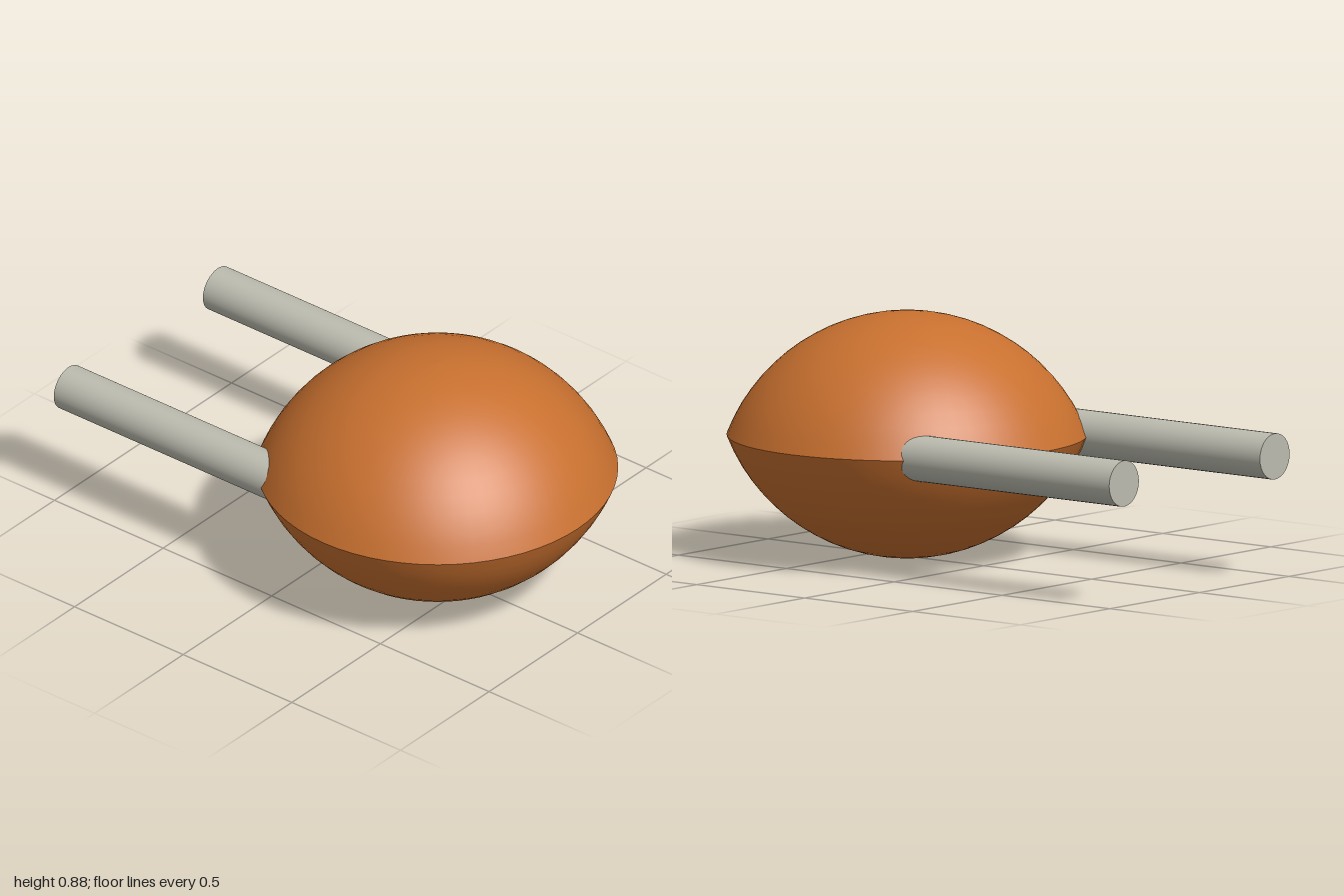
import * as THREE from 'three';

export function createModel() {
  const group = new THREE.Group();
  const orange = new THREE.MeshStandardMaterial({ color: 0xc8702f });
  orange.name = 'burnt orange';
  const grey = new THREE.MeshStandardMaterial({ color: 0xbcbcb0 });
  grey.name = 'warm grey';

  const rim = 0.645, height = 0.441, midY = 0.441, bodyZ = 0.355;
  const R = (rim * rim + height * height) / (2 * height); // sphere the shells are cut from
  const rimAngle = Math.asin(rim / R);

  // Body: two shallow spherical caps meeting at a sharp seam
  for (const side of [1, -1]) {
    const points = [];
    for (let i = 0; i <= 14; i++) {
      const a = rimAngle * (1 - i / 14);
      points.push(new THREE.Vector2(R * Math.sin(a), side * (R * Math.cos(a) - R + height)));
    }
    if (side < 0) points.reverse(); // always bottom to top so faces point outward
    const shell = new THREE.Mesh(new THREE.LatheGeometry(points, 64), orange);
    shell.name = side > 0 ? 'upperShell' : 'lowerShell';
    shell.position.set(0, midY, bodyZ);
    group.add(shell);
  }

  // Two parallel rods running backwards from inside the body
  const front = 0.1, back = -1;
  for (const side of [1, -1]) {
    const rod = new THREE.Mesh(new THREE.CylinderGeometry(0.083, 0.083, front - back, 32), grey);
    rod.name = side > 0 ? 'leftRod' : 'rightRod';
    rod.rotation.x = Math.PI / 2;
    rod.position.set(side * 0.421, midY + 0.001, (front + back) / 2);
    group.add(rod);
  }
  return group;
}
